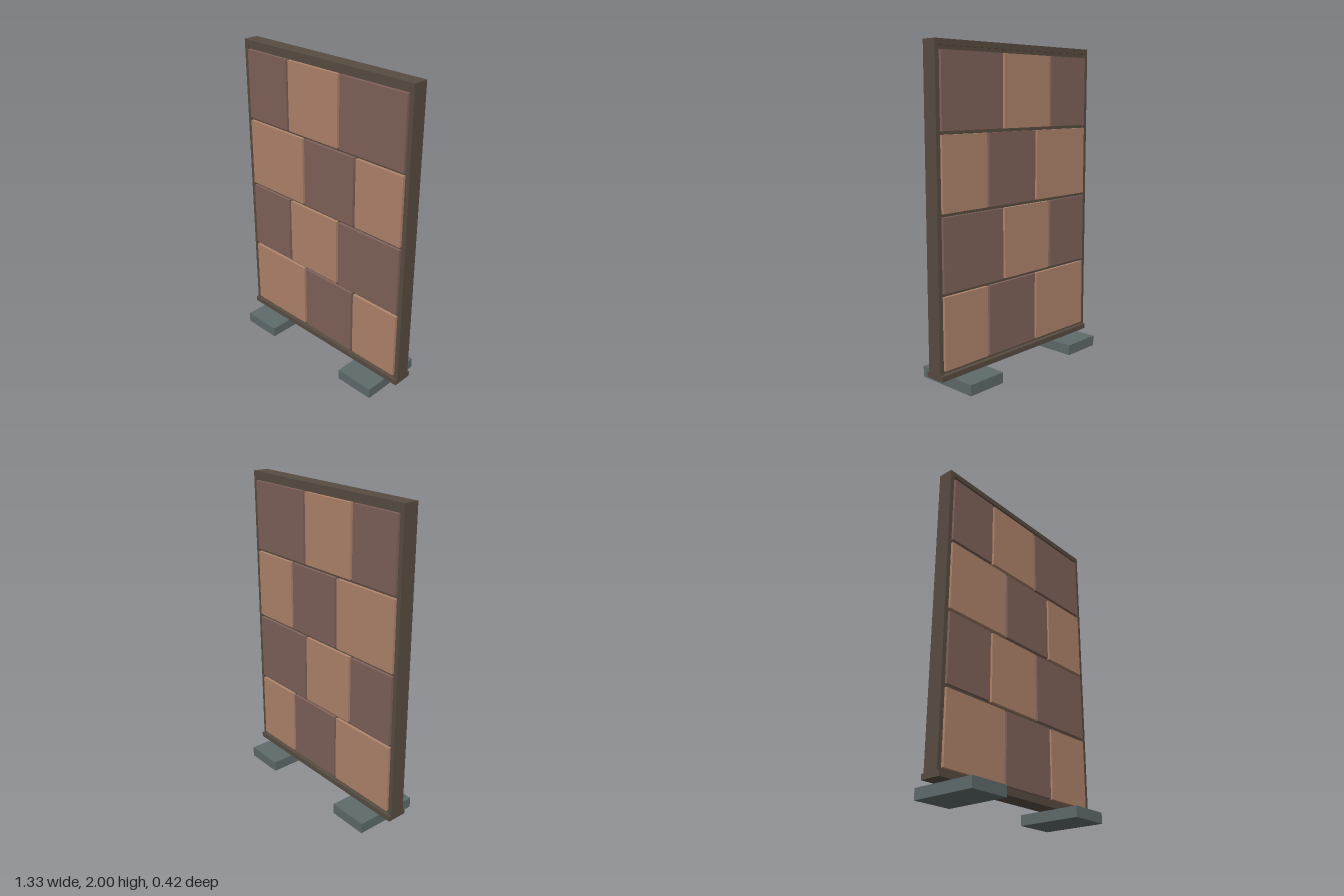
import * as THREE from 'three';

export function createModel() {
  const model = new THREE.Group();
  const material = (name, color) => {
    const m = new THREE.MeshStandardMaterial({ color });
    m.name = name;
    return m;
  };
  const frameMat = material('dark frame', 0x584c41);
  const lightMat = material('light clay', 0xb0846b);
  const darkMat = material('dark clay', 0x80625a);
  const footMat = material('grey foot', 0x5f6a6c);

  // Box given by its x and y ranges and full depth, centred on z = 0
  const box = (name, mat, x0, x1, y0, y1, depth) => {
    const mesh = new THREE.Mesh(new THREE.BoxGeometry(x1 - x0, y1 - y0, depth), mat);
    mesh.name = name;
    mesh.position.set((x0 + x1) / 2, (y0 + y1) / 2, 0);
    model.add(mesh);
  };

  // Feet and frame posts, mirrored
  for (const s of [-1, 1]) {
    const side = s > 0 ? 'left' : 'right';
    box(side + 'Foot', footMat, s * 0.444 - 0.132, s * 0.444 + 0.132, 0, 0.067, 0.42);
    box(side + 'Post', frameMat, s * 0.651 - 0.014, s * 0.651 + 0.014, 0.1, 2, 0.098);
  }

  // Sill, top rail and the recessed core behind the tiles
  box('sill', frameMat, -0.665, 0.665, 0.067, 0.1, 0.132);
  box('topRail', frameMat, -0.637, 0.637, 1.965, 2, 0.098);
  box('core', frameMat, -0.637, 0.637, 0.1, 1.965, 0.076);

  // Staggered tiles, standing proud of both faces
  const layouts = [
    [[-0.63, -0.155], [-0.138, 0.268], [0.285, 0.63]],
    [[-0.63, -0.287], [-0.27, 0.136], [0.153, 0.63]],
  ];
  for (let row = 0; row < 4; row++) {
    const y = 0.121 + row * 0.4605;
    layouts[row % 2].forEach(([x0, x1], col) => {
      const mat = (row + col) % 2 ? darkMat : lightMat;
      box(`tileRow${row + 1}Column${col + 1}`, mat, x0, x1, y, y + 0.44, 0.116);
    });
  }

  return model;
}
